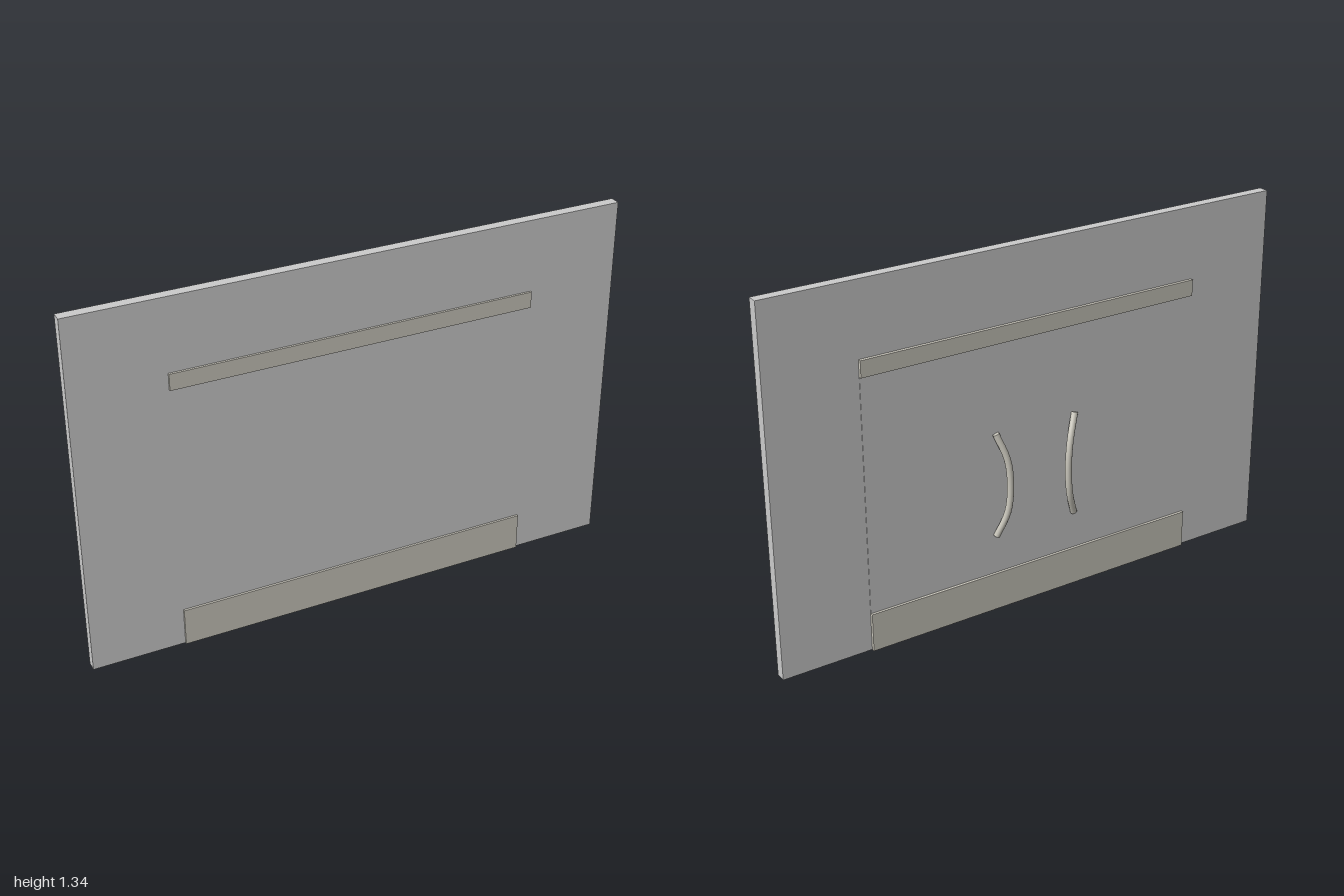
import * as THREE from 'three';

const material = new THREE.MeshStandardMaterial({ color: 0xcccccc });
const railMaterial = new THREE.MeshStandardMaterial({ color: 0xcbc8bd });

// Box given by its width (centred on x) and its y and z limits
function slab(name, width, y0, y1, z0, z1, mat) {
  const mesh = new THREE.Mesh(new THREE.BoxGeometry(width, y1 - y0, z1 - z0), mat);
  mesh.position.set(0, (y0 + y1) / 2, (z0 + z1) / 2);
  mesh.name = name;
  return mesh;
}

// Bowed grip on the back: round bar with closed ends
function handle(side) {
  const group = new THREE.Group();
  group.name = side > 0 ? 'leftHandle' : 'rightHandle';
  const points = [
    [0.163, 0.683, -0.008], [0.130, 0.585, -0.029], [0.121, 0.485, -0.033],
    [0.130, 0.385, -0.029], [0.163, 0.291, -0.008],
  ].map(([x, y, z]) => new THREE.Vector3(side * x, y, z));
  const curve = new THREE.CatmullRomCurve3(points);
  const radius = 0.012;
  const bar = new THREE.Mesh(new THREE.TubeGeometry(curve, 16, radius, 12), railMaterial);
  bar.name = 'handleBar';
  group.add(bar);
  for (const t of [0, 1]) {
    const cap = new THREE.Mesh(new THREE.CircleGeometry(radius, 12), railMaterial);
    const outward = curve.getTangent(t).multiplyScalar(t === 0 ? -1 : 1);
    cap.quaternion.setFromUnitVectors(new THREE.Vector3(0, 0, 1), outward);
    cap.position.copy(curve.getPoint(t));
    cap.name = 'handleEnd';
    group.add(cap);
  }
  return group;
}

export function createModel() {
  const model = new THREE.Group();
  model.name = 'panelBoard';

  // Main board
  model.add(slab('board', 2, 0, 1.337, 0, 0.038, material));

  // Rails that pass through the board and stand proud on both faces
  model.add(slab('upperRail', 1.33, 1.01, 1.07, -0.012, 0.046, railMaterial));
  model.add(slab('lowerRail', 1.33, 0, 0.143, -0.012, 0.046, railMaterial));

  // Thin backing sheet between the rails
  model.add(slab('backSheet', 1.33, 0.143, 1.01, -0.002, 0.01, material));

  // Pair of grips
  for (const side of [1, -1]) model.add(handle(side));
  return model;
}
